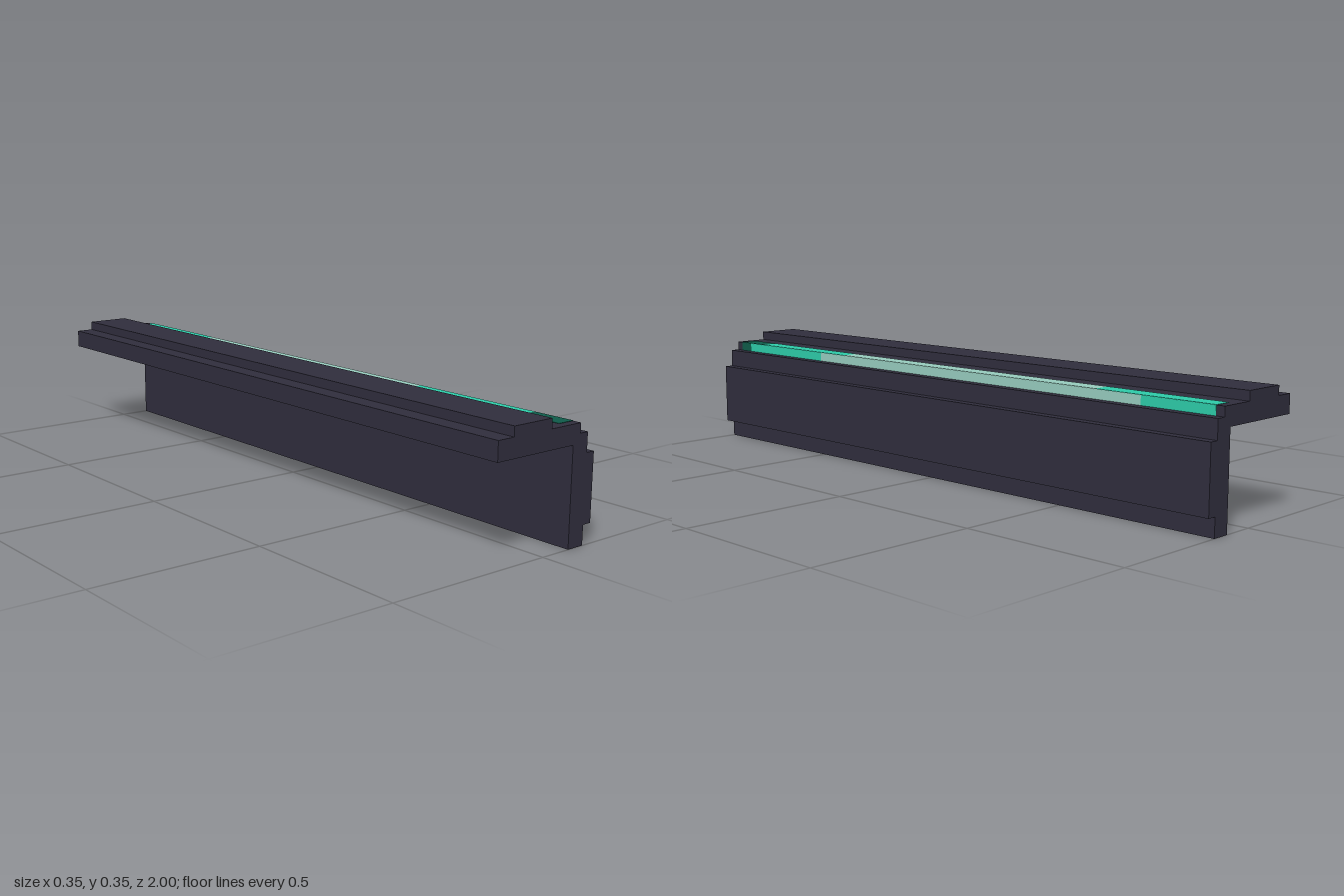
import * as THREE from 'three';

const material = (name, color) => {
  const m = new THREE.MeshStandardMaterial({ color });
  m.name = name;
  return m;
};

export function createModel() {
  const group = new THREE.Group();
  group.name = 'edgeTrim';
  const charcoal = material('charcoal', 0x2f2d3c);
  const teal = material('teal', 0x2dcaa8);
  const paleTeal = material('paleTeal', 0x96cbbd);
  const darkTeal = material('darkTeal', 0x0f5a49);

  // Stepped angle profile, extruded along the whole length
  const profile = [
    [0.094, 0], [0.148, 0], [0.148, 0.055], [0.175, 0.055],
    [0.175, 0.244], [0.148, 0.244], [0.148, 0.298], [0.12, 0.298],
    [0.12, 0.325], [0.013, 0.325], [0.013, 0.352], [-0.121, 0.352],
    [-0.121, 0.325], [-0.175, 0.325], [-0.175, 0.271], [0.094, 0.271],
  ].map(([x, y]) => new THREE.Vector2(x, y));
  const geometry = new THREE.ExtrudeGeometry(new THREE.Shape(profile), { depth: 2, bevelEnabled: false });
  geometry.translate(0, 0, -1);
  const body = new THREE.Mesh(geometry, charcoal);
  body.name = 'angleBody';
  group.add(body);

  // Light strip: thin plates on the top and outer side of the upper corner
  const t = 0.002;
  const addStrip = (name, x0, x1, y0, y1, stops) => {
    const colors = [teal, paleTeal, teal, darkTeal];
    colors.forEach((mat, i) => {
      const [z0, z1] = [stops[i], stops[i + 1]];
      const plate = new THREE.Mesh(new THREE.BoxGeometry(x1 - x0, y1 - y0, z1 - z0), mat);
      plate.position.set((x0 + x1) / 2, (y0 + y1) / 2, (z0 + z1) / 2);
      plate.name = name + (i + 1);
      group.add(plate);
    });
  };
  addStrip('topLightStrip', 0.067, 0.12, 0.325 - t, 0.325 + t / 2, [-0.975, -0.597, 0.43, 0.85, 0.975]);
  addStrip('sideLightStrip', 0.12 - t, 0.12 + t / 2, 0.298, 0.325, [-0.975, -0.747, 0.543, 0.923, 0.975]);
  return group;
}
